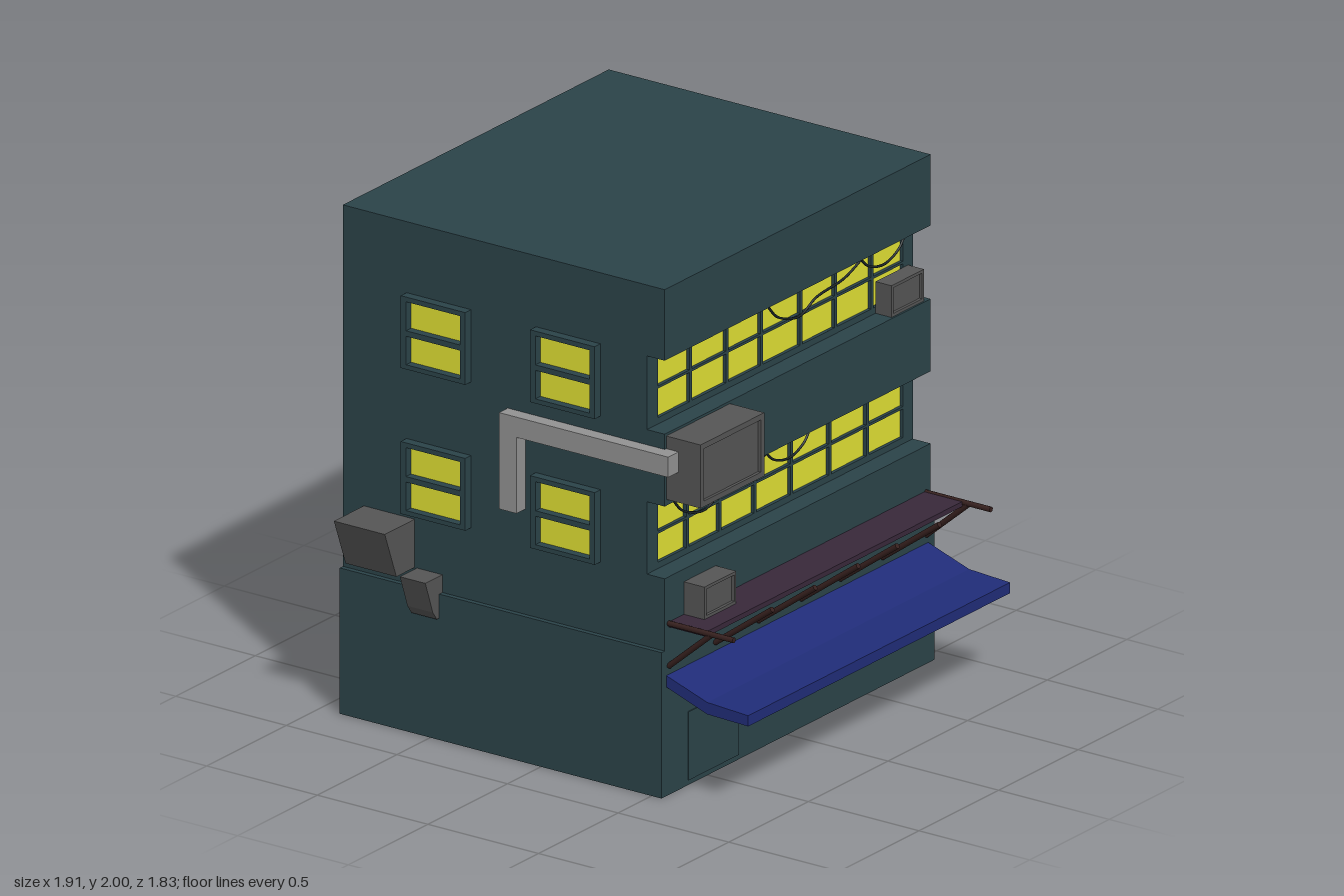
import * as THREE from 'three';

const mat = (color) => new THREE.MeshStandardMaterial({ color });
const wall = mat(0x2b4349), glassMat = mat(0xe0e034), blue = mat(0x202c78), purple = mat(0x38283a);
const rust = mat(0x36201e), darkGrey = mat(0x555555), lightGrey = mat(0x929292), black = mat(0x1a2426);

export function createModel() {
  const model = new THREE.Group();

  const add = (name, geometry, material) => {
    const mesh = new THREE.Mesh(geometry, material);
    mesh.name = name;
    model.add(mesh);
    return mesh;
  };
  // box given by its ranges on each axis
  const box = (name, m, x0, x1, y0, y1, z0, z1) => add(name,
    new THREE.BoxGeometry(x1 - x0, y1 - y0, z1 - z0)
      .translate((x0 + x1) / 2, (y0 + y1) / 2, (z0 + z1) / 2), m);
  const polygon = (pts) => new THREE.Shape(pts.map(([a, b]) => new THREE.Vector2(a, b)));
  const rect = (a0, a1, b0, b1) => [[a0, b0], [a1, b0], [a1, b1], [a0, b1]];
  // outer rectangle with rectangular openings
  const pierced = (outer, holes) => {
    const s = polygon(rect(...outer));
    s.holes = holes.map((h) => polygon(rect(...h)));
    return s;
  };
  const alongZ = (shape, z0, z1) =>
    new THREE.ExtrudeGeometry(shape, { depth: z1 - z0, bevelEnabled: false }).translate(0, 0, z0);
  // shape drawn in (z, y), swept along x
  const alongX = (shape, x0, x1) =>
    new THREE.ExtrudeGeometry(shape, { depth: x1 - x0, bevelEnabled: false })
      .rotateY(-Math.PI / 2).translate(x1, 0, 0);
  // straight round bar between two points
  const bar = (name, a, b, r) => {
    const curve = new THREE.LineCurve3(new THREE.Vector3(...a), new THREE.Vector3(...b));
    const len = curve.getLength();
    const m = add(name, new THREE.CylinderGeometry(r, r, len, 8), rust);
    m.position.copy(curve.getPoint(0.5));
    m.quaternion.setFromUnitVectors(new THREE.Vector3(0, 1, 0), curve.getTangent(0));
  };

  // main building: side profile with two window recesses, on a wider base
  const L = -0.77, R = 0.9, back = -0.91, front = 0.545, recess = 0.445;
  add('upperFloors', alongX(polygon([
    [back, 0.57], [front, 0.57], [front, 0.86], [recess, 0.86], [recess, 1.145], [front, 1.145],
    [front, 1.43], [recess, 1.43], [recess, 1.72], [front, 1.72], [front, 2], [back, 2],
  ]), L, R), wall);
  box('groundFloor', wall, -0.79, 0.925, 0, 0.575, back, front);
  box('door', wall, -0.625, -0.31, 0.02, 0.29, front, front + 0.004);

  // front window bands
  const bands = [
    [0.86, 1.145, [-0.515, -0.31, -0.09, 0.14, 0.38, 0.615]],
    [1.43, 1.72, [-0.495, -0.265, -0.05, 0.2, 0.415, 0.645]],
  ];
  for (const [y0, y1, mullions] of bands) {
    const edges = [-0.71, ...mullions, 0.845];
    const mid = (y0 + y1) / 2;
    const panes = [];
    for (let i = 0; i < edges.length - 1; i++) {
      const a = edges[i] + 0.008, b = edges[i + 1] - 0.008;
      panes.push([a, b, y0 + 0.025, mid - 0.005], [a, b, mid + 0.005, y1 - 0.025]);
    }
    add('frontWindowFrame', alongZ(pierced([L, R, y0, y1], panes), recess, 0.465), wall);
    box('frontWindowGlass', glassMat, -0.71, 0.845, y0 + 0.02, y1 - 0.02, recess, recess + 0.006);
  }

  // side windows, two per floor on both sides
  for (const y of [0.86, 1.435]) for (const z of [-0.622, -0.037]) for (const side of [-1, 1]) {
    const shape = pierced([z, z + 0.292, y, y + 0.285], [
      [z + 0.024, z + 0.268, y + 0.018, y + 0.13],
      [z + 0.024, z + 0.268, y + 0.152, y + 0.266],
    ]);
    const x = side < 0 ? L : R;
    const outer = x + side * 0.037, inner = x + side * 0.005;
    add('sideWindowFrame', alongX(shape, Math.min(x, outer), Math.max(x, outer)), wall);
    box('sideWindowGlass', glassMat, Math.min(x, inner), Math.max(x, inner),
      y + 0.015, y + 0.27, z + 0.02, z + 0.272);
  }

  // awning
  add('awning', alongX(polygon([
    [front, 0.43], [0.73, 0.365], [0.915, 0.36], [0.915, 0.402], [0.73, 0.412], [front, 0.475],
  ]), -0.76, 0.885), blue);

  // balcony shelf on slanted struts, with braced end brackets
  box('shelf', purple, -0.745, 0.87, 0.662, 0.682, front, 0.715);
  for (const x of [-0.455, -0.185, 0.085, 0.33, 0.595])
    bar('shelfStrut', [x, 0.508, front], [x, 0.698, 0.805], 0.011);
  for (const x of [-0.745, 0.87]) {
    bar('endBracket', [x, 0.677, front], [x, 0.677, 0.84], 0.011);
    bar('endBrace', [x, 0.508, front], [x, 0.672, 0.735], 0.011);
  }

  // cooling units with a raised rim round the grille
  const unit = (x0, x1, y0, y1, z0, z1, rim) => {
    box('coolingUnit', darkGrey, x0, x1, y0, y1, z0, z1 - 0.012);
    add('coolingUnitRim', alongZ(pierced([x0, x1, y0, y1],
      [[x0 + rim, x1 - rim, y0 + rim, y1 - rim]]), z1 - 0.012, z1), darkGrey);
  };
  unit(-0.76, -0.36, 1.17, 1.42, front, 0.7, 0.022);
  unit(0.665, 0.87, 1.43, 1.555, 0.465, 0.537, 0.012);
  unit(-0.65, -0.45, 0.682, 0.81, front, 0.638, 0.012);

  // ducts and junction box on the left side
  box('verticalDuct', lightGrey, R, 0.942, 0, 1.52, 0.33, 0.417);
  box('horizontalDuct', lightGrey, R, 0.942, 0.415, 0.505, -0.89, 0.06);
  box('junctionBox', darkGrey, R, 0.956, 0.31, 0.6, 0.048, 0.465);

  // bent duct on the right side, leading to the large cooling unit
  add('bentDuct', alongX(polygon([
    [-0.165, 0.99], [-0.085, 0.99], [-0.085, 1.29], [0.6, 1.29], [0.6, 1.37], [-0.165, 1.37],
  ]), -0.825, -0.76), lightGrey);

  // tapered vent hoods on the right side
  add('ventHood', alongZ(polygon([
    [-0.76, 0.645], [-0.885, 0.645], [-0.958, 0.835], [-0.76, 0.835],
  ]), -0.815, -0.585), darkGrey);
  add('ventOutlet', alongZ(polygon([
    [-0.76, 0.48], [-0.805, 0.48], [-0.83, 0.515], [-0.877, 0.645], [-0.76, 0.645],
  ]), -0.575, -0.46), darkGrey);

  // hanging cables above the front windows
  const cables = [
    [0.53, [[-0.105, 1.72], [-0.04, 1.655], [0.1, 1.615], [0.2, 1.655], [0.38, 1.675], [0.5, 1.72]]],
    [0.515, [[0.49, 1.72], [0.55, 1.665], [0.65, 1.64], [0.74, 1.67], [0.785, 1.72]]],
  ];
  for (const [dx, dy] of [[0, 0], [-0.595, -0.573]])
    for (const [z, pts] of cables) {
      const path = new THREE.CatmullRomCurve3(
        pts.map(([x, y]) => new THREE.Vector3(x + dx, y + dy, z)));
      add('cable', new THREE.TubeGeometry(path, 32, 0.005, 6), black);
    }

  return model;
}
